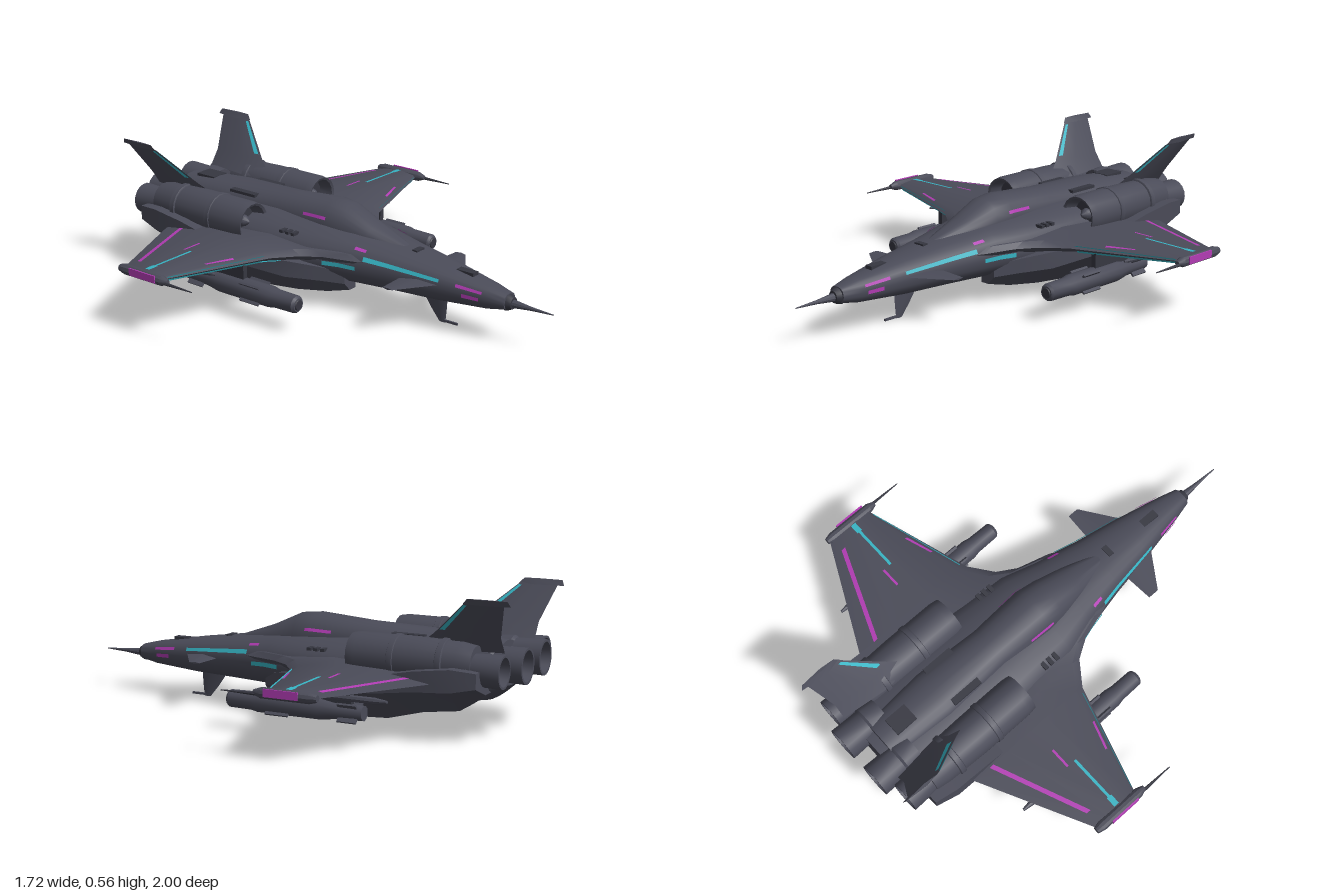
import * as THREE from 'three';
import { toCreasedNormals } from 'three/addons/utils/BufferGeometryUtils.js';

const V = (x, y, z) => new THREE.Vector3(x, y, z);
const paint = (name, color) => {
  const m = new THREE.MeshStandardMaterial({ color, side: THREE.DoubleSide });
  m.name = name;
  return m;
};

// Skin a list of rings and close both ends
function loft(rings) {
  const n = rings[0].length, pos = [];
  const tri = (...p) => p.forEach(v => pos.push(v.x, v.y, v.z));
  const mid = r => r.reduce((s, v) => s.add(v), V(0, 0, 0)).divideScalar(n);
  const first = rings[0], last = rings[rings.length - 1], cf = mid(first), cl = mid(last);
  for (let j = 0; j < n; j++) {
    const k = (j + 1) % n;
    tri(cf, first[j], first[k]);
    tri(cl, last[k], last[j]);
    for (let i = 0; i < rings.length - 1; i++) {
      const a = rings[i], b = rings[i + 1];
      tri(a[j], b[j], a[k]);
      tri(a[k], b[j], b[k]);
    }
  }
  return new THREE.BufferGeometry().setAttribute('position', new THREE.Float32BufferAttribute(pos, 3));
}

// Thin painted face between pairs of points
function ribbon(pairs) {
  const pos = [];
  for (let i = 0; i < pairs.length - 1; i++) {
    const [a, b] = pairs[i], [c, d] = pairs[i + 1];
    for (const v of [a, b, c, c, b, d]) pos.push(v.x, v.y, v.z);
  }
  return new THREE.BufferGeometry().setAttribute('position', new THREE.Float32BufferAttribute(pos, 3));
}

// Linear lookup in a table sorted by its first column
function sample(table, t) {
  const up = table[1][0] > table[0][0] ? 1 : -1;
  let i = 0;
  while (i < table.length - 2 && up * t > up * table[i + 1][0]) i++;
  const a = table[i], b = table[i + 1];
  const f = THREE.MathUtils.clamp((t - a[0]) / (b[0] - a[0]), 0, 1);
  return a.map((v, k) => v + (b[k] - v) * f);
}

// Point on a hull section [z, halfWidth, bottom, middle, top]
const power = (v, e) => Math.sign(v) * Math.abs(v) ** e;
function hullPoint([z, w, yb, ym, yt], a, e) {
  const s = power(Math.sin(a), e);
  return V(w * power(Math.cos(a), e), ym + s * (s > 0 ? yt - ym : ym - yb), z);
}
const ringOf = (n, f) => Array.from({ length: n }, (_, i) => f(i / n * Math.PI * 2));
const hull = (table, e) => loft(table.map(s => ringOf(24, a => hullPoint(s, a, e))));
const round = (x, y, profile, n = 18) =>
  loft(profile.map(([z, r]) => ringOf(n, a => V(x + r * Math.cos(a), y + r * Math.sin(a), z))));
const box = (w, h, d, x, y, z) => new THREE.BoxGeometry(w, h, d).translate(x, y, z);

const BODY = [[.8, .04, .14, .17, .205], [.72, .06, .125, .175, .225], [.5, .105, .11, .19, .262],
  [.3, .14, .105, .2, .29], [.1, .185, .1, .21, .32], [-.05, .23, .095, .21, .335],
  [-.3, .25, .09, .21, .345], [-.6, .26, .1, .22, .35], [-.85, .24, .14, .23, .34], [-.92, .18, .2, .26, .33]];
const SPINE = [[.32, .03, .24, .26, .285], [.15, .075, .25, .28, .345], [.02, .1, .25, .29, .405],
  [-.06, .11, .25, .3, .413], [-.3, .1, .25, .3, .395], [-.6, .12, .25, .3, .385], [-.88, .1, .25, .3, .365]];
// Keel columns: z, inner x, outer x, bottom, chine, top
const KEEL = [[.11, .09, .16, .085, .12, .17], [.02, .1, .215, .068, .13, .19], [-.1, .1, .29, .06, .14, .21],
  [-.3, .1, .345, .05, .165, .22], [-.48, .1, .35, .06, .18, .25], [-.63, .1, .35, .1, .2, .28],
  [-.78, .1, .35, .12, .21, .3], [-.88, .1, .33, .19, .23, .29]];
// Wing columns: x, leading z, trailing z, y, half thickness
const WING = [[.1, .32, -.72, .235, .035], [.17, .18, -.72, .235, .042], [.21, .04, -.72, .235, .042],
  [.26, -.04, -.71, .235, .042], [.36, -.115, -.7, .238, .036], [.84, -.265, -.465, .253, .016]];
const FOIL = [[0, 0], [.06, .55], [.35, 1], [.7, .75], [1, 0]];
// Tail fin rows: x, y, leading z, trailing z, half thickness
const FIN = [[.165, .345, -.57, -.93, .024], [.21, .41, -.66, -.93, .018], [.303, .552, -.82, -.975, .008]];

function wingPoint(x, u, side) {
  const [, lead, trail, y, t] = sample(WING, x);
  return V(x, y + side * t * sample(FOIL, u)[1], lead + (trail - lead) * u);
}
function wingTop(x, z) {
  const [, lead, trail] = sample(WING, x);
  const p = wingPoint(x, (lead - z) / (lead - trail), 1);
  p.y += .004;
  return p;
}

export function createModel() {
  const group = new THREE.Group();
  const grey = paint('hull grey', 0x4a4b58), dark = paint('shadow grey', 0x363741);
  const cyan = paint('cyan trim', 0x36b4c4), magenta = paint('magenta trim', 0xb23cb4);

  const add = (name, geo, mat) => {
    const flat = geo.index ? geo.toNonIndexed() : geo;
    const mesh = new THREE.Mesh(toCreasedNormals(flat, .6), mat);
    mesh.name = name;
    group.add(mesh);
  };
  // Adds the left part and its reflected twin
  const pair = (name, geo, mat) => {
    const left = geo.index ? geo.toNonIndexed() : geo;
    const p = left.getAttribute('position'), pos = [];
    for (let i = 0; i < p.count; i += 3)
      for (const k of [i, i + 2, i + 1]) pos.push(-p.getX(k), p.getY(k), p.getZ(k));
    const right = new THREE.BufferGeometry().setAttribute('position', new THREE.Float32BufferAttribute(pos, 3));
    add(name + 'Left', left, mat);
    add(name + 'Right', right, mat);
  };
  const steps = (n, f) => Array.from({ length: n + 1 }, (_, i) => f(i / n));
  const wingStripe = (name, mat, x0, z0, x1, z1, w) => pair(name, ribbon(steps(10, t => {
    const x = x0 + (x1 - x0) * t, z = z0 + (z1 - z0) * t;
    return [wingTop(x, z + w / 2), wingTop(x, z - w / 2)];
  })), mat);
  const hullStripe = (name, mat, table, e, z0, z1, a0, a1) => pair(name, ribbon(steps(10, t => {
    const s = sample(table, z0 + (z1 - z0) * t);
    s[1] += .004; s[4] += .004;
    return [hullPoint(s, a0, e), hullPoint(s, a1, e)];
  })), mat);

  // Fuselage
  add('fuselage', hull(BODY, .85), grey);
  add('canopyAndSpine', hull(SPINE, .9), grey);
  add('noseCollar', round(0, .168, [[.82, .024], [.8, .034], [.79, .036]], 12), dark);
  add('noseNeedle', round(0, .166, [[1, .002], [.9, .008], [.81, .018]], 10), grey);
  add('noseSensor', box(.035, .02, .08, 0, .242, .6), dark);
  pair('keelPod', loft(KEEL.map(([z, xi, xo, yb, ym, yt]) =>
    [V(xo, yt, z), V(xi, yt, z), V(xi, yb, z), V(xi + (xo - xi) * .55, yb, z), V(xo, ym, z)])), grey);
  add('bellyKeel', hull([[.1, .04, .09, .12, .15], [-.1, .1, .08, .12, .15], [-.5, .12, .08, .12, .15], [-.85, .1, .16, .19, .22]], .6), grey);

  // Upper engine nacelles with hollow intakes
  pair('nacelle', round(.222, .302, [[-.4, .06], [-.33, .075], [-.325, .085], [-.36, .09], [-.6, .09], [-.78, .084], [-.84, .074]]), grey);
  pair('intakeFan', round(.222, .302, [[-.385, .062], [-.392, .062]]), dark);
  pair('intakeSpinner', round(.222, .302, [[-.35, .004], [-.37, .022], [-.39, .028]], 12), grey);
  for (const z of [-.5, -.7]) pair('nacelleBand', round(.222, .302, [[z, .089], [z - .003, .094], [z - .025, .094], [z - .028, .089]]), grey);
  pair('intakeLip', box(.12, .035, .14, .225, .245, -.27), grey);

  // Four exhausts: x, y, end z, radius
  for (const [x, y, z, r] of [[.1, .29, -1, .072], [.23, .285, -.955, .066]]) {
    pair('exhaust', round(x, y, [[z + .2, r], [z + .13, r * 1.08], [z + .12, r * .95], [z, r], [z, r * .86], [z + .09, r * .7]]), grey);
    pair('exhaustCore', round(x, y, [[z + .088, r * .71], [z + .085, r * .71]]), dark);
    pair('exhaustGlow', new THREE.TorusGeometry(r * .74, .005, 6, 18).translate(x, y, z + .062), cyan);
  }

  // Wings
  const us = FOIL.map(f => f[0]);
  pair('wing', loft(WING.map(([x]) => [
    ...us.map(u => wingPoint(x, u, 1)),
    ...us.slice(1, -1).reverse().map(u => wingPoint(x, u, -1))])), grey);
  pair('wingTipPod', round(.835, .255, [[-.22, .01], [-.25, .021], [-.45, .022], [-.48, .014]], 10), grey);
  pair('wingTipNeedle', round(.842, .25, [[-.085, .002], [-.23, .007]], 6), dark);
  pair('wingTipFlash', box(.006, .03, .14, .8555, .26, -.34), magenta);
  wingStripe('trailingStripe', magenta, .36, -.613, .76, -.452, .02);
  wingStripe('outerStripe', cyan, .57, -.352, .77, -.352, .012);
  wingStripe('outerBlock', cyan, .77, -.352, .815, -.352, .024);
  wingStripe('innerStripe', magenta, .48, -.39, .57, -.39, .01);
  wingStripe('frontStripe', magenta, .5, -.185, .62, -.225, .01);
  const edge = (u, side) => x => {
    const p = wingPoint(x, u, side);
    p.y += side * .003; p.z += .004;
    return p;
  };
  const edgeTop = edge(.025, 1), edgeLow = edge(.06, -1), edgeUnder = edge(.2, -1);
  pair('leadingEdge', ribbon(steps(8, t => [edgeTop(.38 + .42 * t), edgeLow(.38 + .42 * t)])), cyan);
  // The right edge is painted further under
  const rightSide = ribbon(steps(8, t => [edgeLow(.3 + .48 * t), edgeUnder(.3 + .48 * t)]));
  add('rightLowerEdge', rightSide.scale(-1, 1, 1), cyan);

  // Underwing stores
  pair('missile', round(.45, .122, [[.11, .028], [.1, .036], [0, .038], [-.03, .044], [-.3, .044], [-.36, .034], [-.48, .03]], 12), grey);
  pair('missileNose', round(.45, .122, [[.114, .02], [.108, .024]], 12), dark);
  pair('missilePylon', box(.022, .085, .26, .45, .195, -.3), dark);
  for (const s of [-1, 1]) {
    pair('missileFin', new THREE.BoxGeometry(.11, .008, .1).rotateZ(s * Math.PI / 4).translate(.45, .122, -.12), grey);
    pair('missileTailFin', new THREE.BoxGeometry(.1, .008, .08).rotateZ(s * Math.PI / 4).translate(.45, .122, -.42), grey);
  }
  pair('wingRail', round(.57, .205, [[-.22, .004], [-.27, .013], [-.58, .013], [-.63, .006]], 8), grey);
  pair('wingRailMount', box(.012, .03, .2, .57, .223, -.38), dark);

  // Tail fins
  const blade = rows => loft(rows.map(([x, y, l, t, h]) =>
    [V(x + h, y, l * .6 + t * .4), V(x, y, l), V(x - h, y, l * .6 + t * .4), V(x, y, t)]));
  pair('tailFin', blade(FIN), grey);
  pair('tailFinCap', blade([[.3, .545, -.81, -1, .012], [.31, .567, -.83, -.99, .006]]), grey);
  for (const side of [-1, 1]) pair('tailFinStripe', ribbon(steps(4, f => {
    const [x, y, l, t, h] = FIN[1].map((v, k) => v + (FIN[2][k] - v) * (.12 + .8 * f));
    return [.08, .3].map(u => V(x + side * (h * u + .004), y, l + (t - l) * .4 * u));
  })), cyan);

  // Canards and ventral blade
  pair('canard', loft([[.09, .53, .36, .01], [.25, .42, .37, .004]].map(([x, l, t, h]) =>
    [V(x, .2, l), V(x, .2 + h, (l + t) / 2), V(x, .2, t), V(x, .2 - h, (l + t) / 2)])), grey);
  add('ventralBlade', blade([[0, .002, .5, .47, .005], [0, .05, .505, .43, .008], [0, .12, .51, .38, .012]]), grey);
  add('ventralNeedle', box(.008, .009, .09, 0, .0095, .515), grey);

  // Painted hull trim
  hullStripe('shoulderStripe', cyan, BODY, .85, .53, .2, .28, .46);
  hullStripe('chineStripe', cyan, BODY, .85, .17, .03, -.06, .04);
  hullStripe('nosePatch', magenta, BODY, .85, .71, .6, .3, .5);
  hullStripe('lowerNosePatch', magenta, BODY, .85, .7, .63, -.15, .04);
  hullStripe('chinePatch', magenta, BODY, .85, .2, .15, .62, .74);
  hullStripe('canopyPatch', magenta, SPINE, .9, -.04, -.16, .38, .5);

  // Vents and deck panels
  for (let i = 0; i < 3; i++) pair('shoulderVent', box(.035, .012, .018, .2, .298, -.12 - i * .03), dark);
  pair('deckPanel', box(.03, .012, .14, .085, .366, -.5), dark);
  add('spineHatch', box(.08, .012, .1, 0, .372, -.77), dark);
  add('frontHatch', box(.05, .01, .025, 0, .281, .36), dark);
  return group;
}
